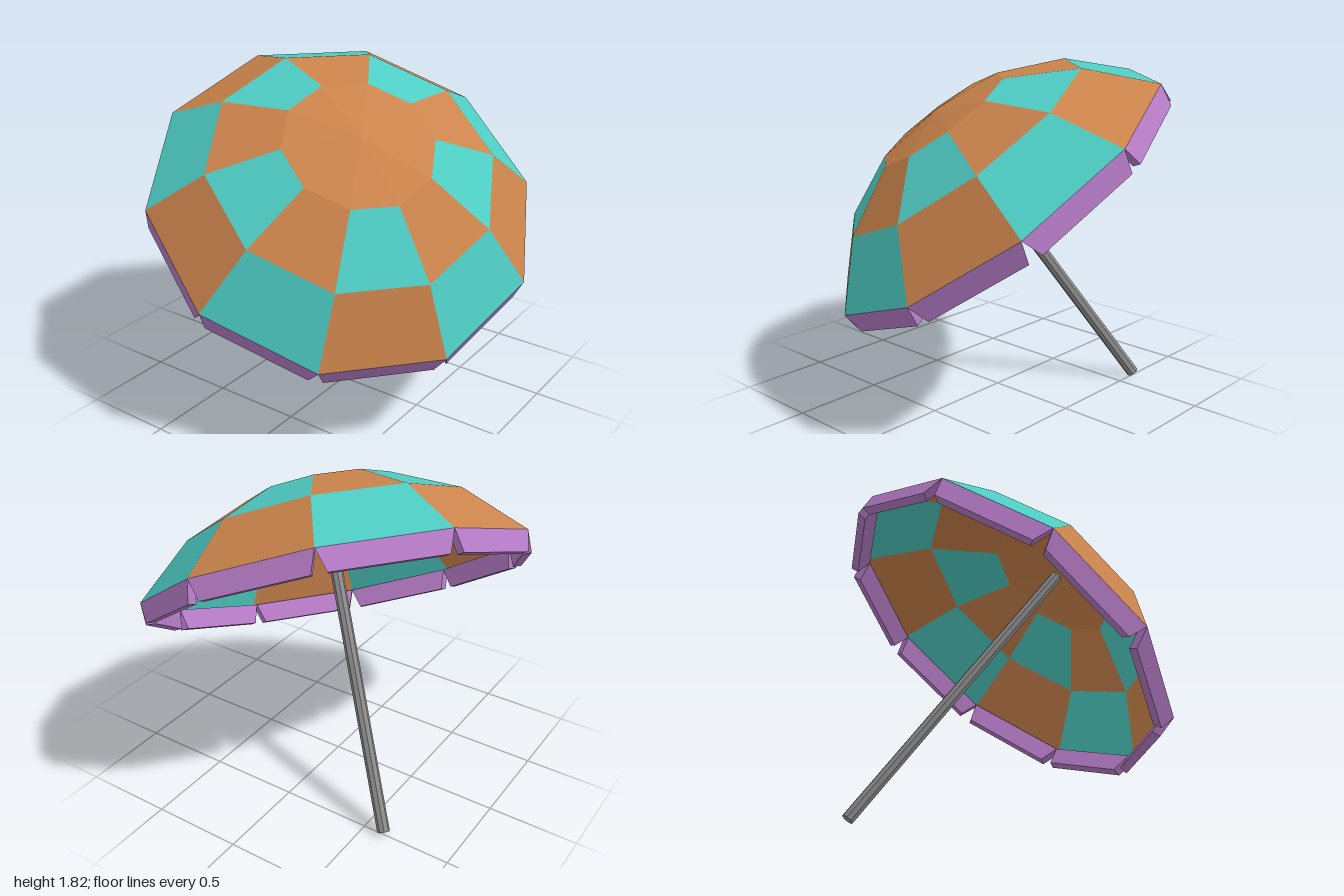
import * as THREE from 'three';
import { ConvexGeometry } from 'three/addons/geometries/ConvexGeometry.js';

const SIDES = 10;
// canopy profile from rim to apex: [radius, height along the pole]
const RINGS = [[1.058, 0], [0.767, 0.29], [0.4, 0.467], [0, 0.525]];

const material = (color, side = THREE.FrontSide) =>
  new THREE.MeshStandardMaterial({ color, side, flatShading: true });

function point(radius, height, i) {
  const a = (i / SIDES) * Math.PI * 2;
  return new THREE.Vector3(radius * Math.cos(a), height, radius * Math.sin(a));
}

// All canopy panels for which pick(ring, sector) is true
function panels(pick) {
  const pts = [];
  for (let k = 0; k < RINGS.length - 1; k++) {
    for (let i = 0; i < SIDES; i++) {
      if (!pick(k, i)) continue;
      const a = point(...RINGS[k], i), b = point(...RINGS[k], i + 1);
      const c = point(...RINGS[k + 1], i), d = point(...RINGS[k + 1], i + 1);
      pts.push(a, c, b);
      if (RINGS[k + 1][0] > 0) pts.push(b, c, d);
    }
  }
  const geometry = new THREE.BufferGeometry().setFromPoints(pts);
  geometry.computeVertexNormals();
  return geometry;
}

// Hanging flap under one rim edge: a thick strip, narrower at the bottom
function flapGeometry(i) {
  const drop = 0.115, inset = 0.06, thickness = 0.05;
  const pts = [];
  for (const r of [RINGS[0][0], RINGS[0][0] - thickness]) {
    const a = point(r, 0, i), b = point(r, 0, i + 1);
    pts.push(a, b);
    for (const t of [inset, 1 - inset]) {
      const p = a.clone().lerp(b, t);
      p.y = -drop;
      pts.push(p);
    }
  }
  return new ConvexGeometry(pts);
}

export function createModel() {
  const model = new THREE.Group();
  model.name = 'beachUmbrella';
  const add = (name, geometry, mat, parent) => {
    const mesh = new THREE.Mesh(geometry, mat);
    mesh.name = name;
    parent.add(mesh);
    return mesh;
  };

  // Upright umbrella, with the rim centre at its origin
  const umbrella = new THREE.Group();
  umbrella.name = 'tiltedUmbrella';
  model.add(umbrella);

  // Chequered canopy with a plain cap
  const isTeal = (k, i) => k < 2 && (k + i) % 2 === 0;
  add('canopyTealPanels', panels(isTeal), material(0x4ecdc4, THREE.DoubleSide), umbrella);
  add('canopyOrangePanels', panels((k, i) => !isTeal(k, i)), material(0xcc844c, THREE.DoubleSide), umbrella);

  // Flaps around the rim
  const valance = new THREE.Group();
  valance.name = 'valance';
  umbrella.add(valance);
  const purple = material(0xb57bc6);
  for (let i = 0; i < SIDES; i++) add('flap', flapGeometry(i), purple, valance);

  // Pole from the ground to just under the apex
  const bottom = -1.4, top = 0.5;
  const pole = add('pole', new THREE.CylinderGeometry(0.034, 0.034, top - bottom, 8), material(0x8a8a8a), umbrella);
  pole.position.y = (top + bottom) / 2;

  // Lean the whole umbrella
  const y = new THREE.Vector3(0.455, 0.811, 0.369).normalize();
  const x = new THREE.Vector3(0.18, 0.358, -0.98);
  x.addScaledVector(y, -x.dot(y)).normalize();
  const z = new THREE.Vector3().crossVectors(x, y);
  umbrella.quaternion.setFromRotationMatrix(new THREE.Matrix4().makeBasis(x, y, z));
  umbrella.position.set(0.017, 1.157, 0.015);
  return model;
}
